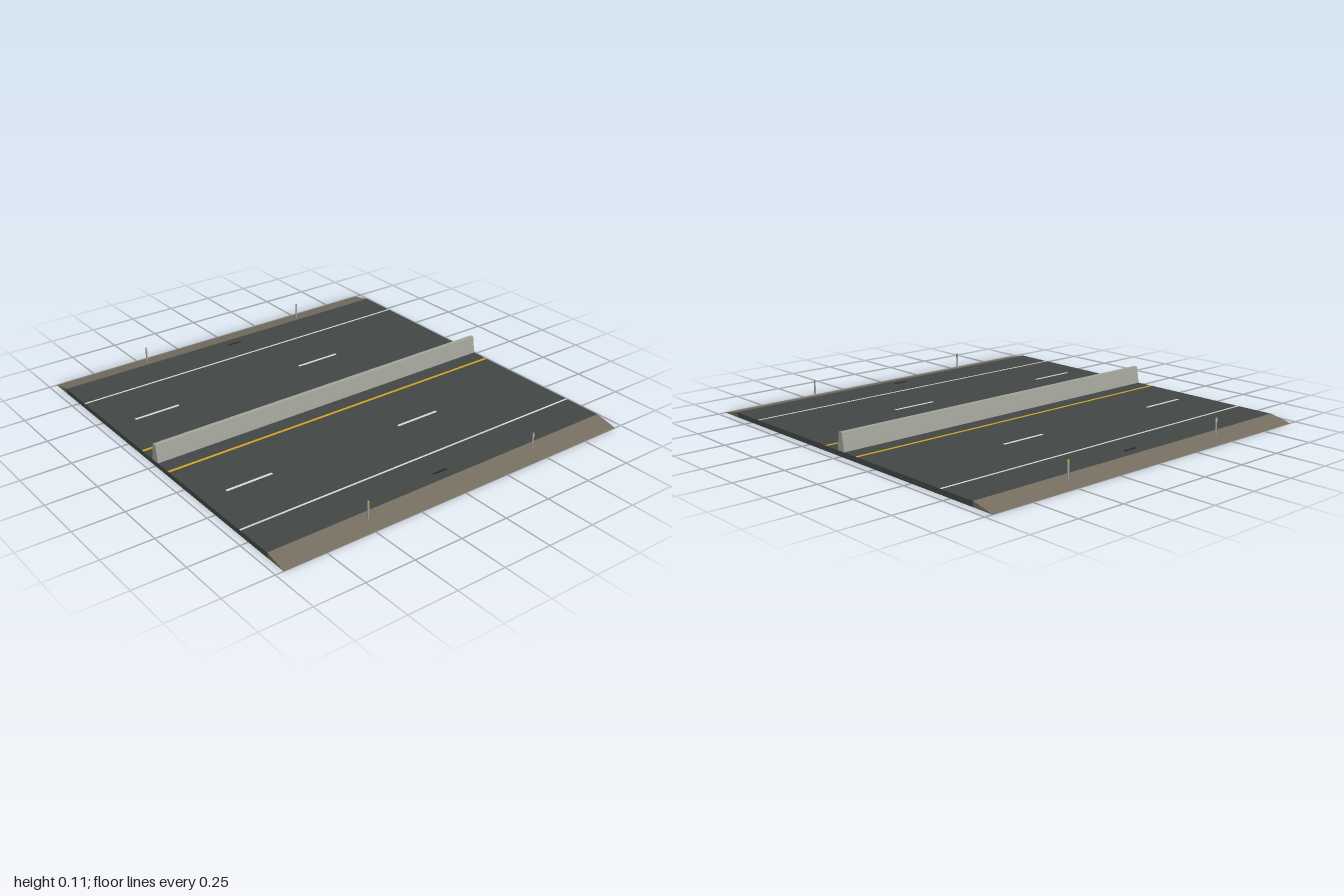
import * as THREE from 'three';

const LENGTH = 1.92;
const ROAD_TOP = 0.025;

function material(name, color) {
  const m = new THREE.MeshStandardMaterial({ color });
  m.name = name;
  return m;
}

export function createModel() {
  const group = new THREE.Group();
  const asphalt = material('asphalt', 0x414746);
  const gravel = material('gravel', 0x746c5f);
  const concrete = material('concrete', 0xa2a49b);
  const white = material('white paint', 0xd4d5cd);
  const yellow = material('yellow paint', 0xd1a021);
  const iron = material('dark iron', 0x25292a);
  const postGrey = material('post grey', 0x9b9d98);
  const amber = material('amber reflector', 0xd9a818);

  function add(name, geometry, mat, x = 0, y = 0, z = 0) {
    const mesh = new THREE.Mesh(geometry, mat);
    mesh.name = name;
    mesh.position.set(x, y, z);
    group.add(mesh);
    return mesh;
  }

  const box = (name, w, h, d, mat, x, y, z) =>
    add(name, new THREE.BoxGeometry(w, h, d), mat, x, y, z);

  // Sweeps a [z, y] cross-section along the road
  function sweep(name, points, mat) {
    const shape = new THREE.Shape(points.map(([z, y]) => new THREE.Vector2(-z, y)));
    const geometry = new THREE.ExtrudeGeometry(shape, { depth: LENGTH, bevelEnabled: false });
    geometry.translate(0, 0, -LENGTH / 2).rotateY(Math.PI / 2);
    return add(name, geometry, mat);
  }

  // Carriageway slab
  box('roadSlab', LENGTH, ROAD_TOP, 1.774, asphalt, 0, ROAD_TOP / 2, 0);

  // Tapered concrete median barrier
  sweep('medianBarrier', [
    [-0.024, ROAD_TOP], [-0.022, 0.04], [-0.011, 0.112],
    [0.011, 0.112], [0.022, 0.04], [0.024, ROAD_TOP],
  ], concrete);

  // Thin painted line on the road
  const paint = (name, length, width, mat, x, z) =>
    box(name, length, 0.001, width, mat, x, ROAD_TOP + 0.0006, z);

  for (const side of [-1, 1]) {
    // Sloping gravel shoulder
    sweep('shoulder', [
      [side * 0.887, 0], [side * 1, 0], [side * 0.887, ROAD_TOP + 0.001],
    ], gravel);

    // Lane markings
    paint('medianLine', LENGTH, 0.014, yellow, 0, side * 0.115);
    paint('edgeLine', LENGTH, 0.01, white, 0, side * 0.688);
    for (const x of [-0.72, 0.24]) paint('laneDash', 0.24, 0.014, white, x, side * 0.4);

    // Slot drain beside the shoulder
    box('slotDrain', 0.075, 0.003, 0.01, iron, 0, ROAD_TOP + 0.0015, side * 0.832);

    // Marker posts with reflectors
    for (const x of [-0.48, 0.48]) {
      const z = side * 0.925;
      box('markerPost', 0.007, 0.092, 0.006, postGrey, x, 0.056, z);
      box('reflector', 0.006, 0.014, 0.002, x * side < 0 ? amber : white, x, 0.09, z + side * 0.0035);
    }
  }

  return group;
}
